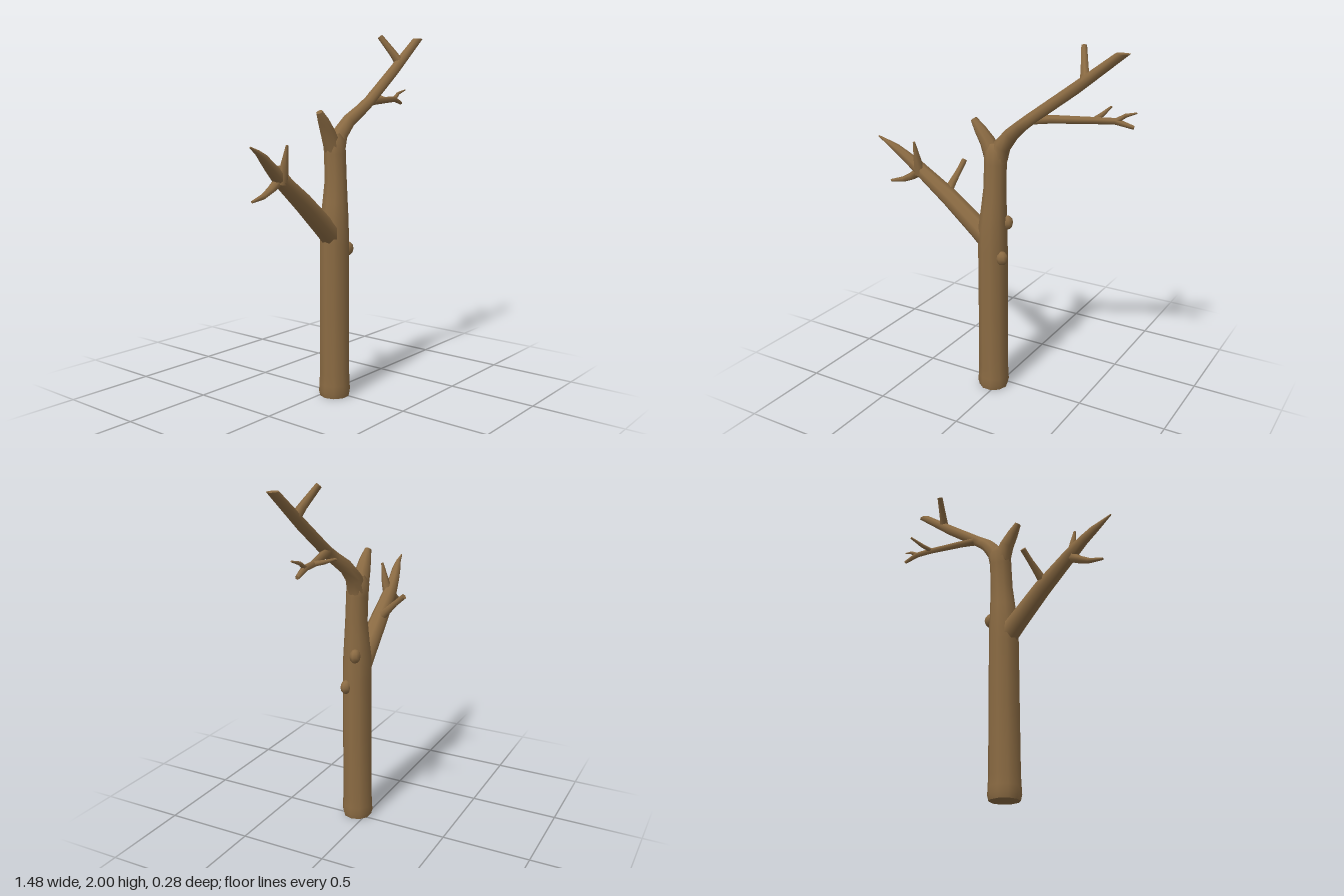
import * as THREE from 'three';

const bark = new THREE.MeshStandardMaterial({ color: 0x8b6b43 });
bark.name = 'bark brown';

// Tapered limb through stations [x, y, z, radius]; levelEnds keeps end cuts horizontal
function limb(name, stations, sides = 8, levelEnds = false) {
  const pts = stations.map(s => new THREE.Vector3(s[0], s[1], s[2]));
  const n = pts.length, pos = [], idx = [];
  const u = new THREE.Vector3(), v = new THREE.Vector3(), t = new THREE.Vector3();
  u.set(0, 0, 1);
  for (let i = 0; i < n; i++) {
    t.subVectors(pts[Math.min(i + 1, n - 1)], pts[Math.max(i - 1, 0)]).normalize();
    if (levelEnds && i === n - 1) t.set(0, 1, 0);
    u.addScaledVector(t, -u.dot(t)).normalize();
    v.crossVectors(t, u);
    for (let k = 0; k < sides; k++) {
      const a = ((k + 0.5) / sides) * Math.PI * 2, r = stations[i][3];
      // a level cut through a slanted limb is wider along its lean
      const wide = levelEnds && i === n - 1 ? 1.35 : 1;
      const p = pts[i].clone().addScaledVector(u, r * Math.cos(a)).addScaledVector(v, r * wide * Math.sin(a));
      pos.push(p.x, p.y, p.z);
    }
  }
  for (let i = 0; i < n - 1; i++) {
    for (let k = 0; k < sides; k++) {
      const a = i * sides + k, b = i * sides + (k + 1) % sides;
      idx.push(a, b, a + sides, b, b + sides, a + sides);
    }
  }
  // flat caps with their own vertices
  for (const end of [0, n - 1]) {
    const c = pos.length / 3;
    pos.push(...pts[end].toArray());
    for (let k = 0; k < sides; k++) {
      const j = (end * sides + k) * 3;
      pos.push(pos[j], pos[j + 1], pos[j + 2]);
    }
    for (let k = 0; k < sides; k++) {
      const a = c + 1 + k, b = c + 1 + (k + 1) % sides;
      if (end) idx.push(c, a, b); else idx.push(c, b, a);
    }
  }
  const g = new THREE.BufferGeometry();
  g.setAttribute('position', new THREE.Float32BufferAttribute(pos, 3));
  g.setIndex(idx);
  g.computeVertexNormals();
  const m = new THREE.Mesh(g, bark);
  m.name = name;
  return m;
}

export function createModel() {
  const tree = new THREE.Group();
  tree.name = 'bareTree';

  // Trunk with flared foot and narrowed neck
  tree.add(limb('trunk', [
    [-0.027, 0, 0.058, 0.082], [-0.027, 0.03, 0.058, 0.089], [-0.027, 0.07, 0.058, 0.087],
    [-0.027, 0.13, 0.058, 0.084], [-0.027, 0.5, 0.058, 0.083], [-0.028, 0.85, 0.058, 0.082],
    [-0.028, 0.98, 0.057, 0.08], [-0.022, 1.08, 0.057, 0.071], [-0.016, 1.2, 0.056, 0.062],
    [-0.015, 1.34, 0.05, 0.061], [-0.015, 1.41, 0.045, 0.062], [-0.02, 1.45, 0.044, 0.035],
  ], 10));

  // Short broken stub at the fork
  tree.add(limb('forkStub', [
    [-0.03, 1.37, 0.047, 0.05], [-0.065, 1.45, 0.045, 0.043],
    [-0.11, 1.515, 0.05, 0.032], [-0.148, 1.566, 0.052, 0.018],
  ]));

  // Upper branch on the left side, with its twigs
  const upper = new THREE.Group();
  upper.name = 'upperBranch';
  upper.add(
    limb('upperBranchStem', [
      [0, 1.37, 0.047, 0.052], [0.025, 1.44, 0.048, 0.047], [0.09, 1.515, 0.062, 0.039],
      [0.16, 1.572, 0.088, 0.034], [0.22, 1.618, 0.1, 0.032], [0.46, 1.795, 0.1, 0.031],
      [0.7, 1.983, 0.1, 0.028],
    ], 8, true),
    limb('upperTwig', [[0.512, 1.84, 0.1, 0.027], [0.495, 1.89, 0.07, 0.022], [0.457, 1.988, 0.002, 0.016]], 6),
    limb('sideBranch', [
      [0.21, 1.615, 0.1, 0.027], [0.32, 1.622, 0.065, 0.022], [0.53, 1.627, 0.0, 0.018],
      [0.63, 1.632, -0.016, 0.017], [0.67, 1.622, -0.022, 0.014], [0.722, 1.608, -0.03, 0.01],
    ], 6),
    limb('sideTwigTip', [[0.63, 1.632, -0.016, 0.014], [0.68, 1.665, -0.022, 0.01], [0.74, 1.686, -0.013, 0.004]], 6),
    limb('sideTwigBack', [[0.52, 1.627, 0.004, 0.014], [0.538, 1.645, -0.06, 0.012], [0.553, 1.672, -0.14, 0.006]], 6),
  );
  tree.add(upper);

  // Lower branch on the right side, with its twigs
  const lower = new THREE.Group();
  lower.name = 'lowerBranch';
  lower.add(
    limb('lowerBranchStem', [
      [-0.03, 0.88, 0.058, 0.065], [-0.12, 0.955, 0.06, 0.058], [-0.3, 1.105, 0.067, 0.051],
      [-0.49, 1.245, 0.078, 0.039], [-0.57, 1.307, 0.09, 0.03], [-0.63, 1.352, 0.104, 0.024],
      [-0.68, 1.383, 0.115, 0.014], [-0.735, 1.411, 0.12, 0.004],
    ]),
    limb('lowerTwigUp', [[-0.485, 1.22, 0.085, 0.032], [-0.484, 1.29, 0.105, 0.024], [-0.487, 1.41, 0.13, 0.007]], 6),
    limb('lowerTwigOut', [
      [-0.485, 1.235, 0.078, 0.03], [-0.55, 1.192, 0.076, 0.021],
      [-0.605, 1.166, 0.08, 0.016], [-0.69, 1.147, 0.085, 0.007],
    ], 6),
    limb('lowerTwigBack', [
      [-0.32, 1.12, 0.07, 0.032], [-0.316, 1.17, 0.02, 0.024],
      [-0.308, 1.225, -0.035, 0.018], [-0.306, 1.278, -0.095, 0.017],
    ], 6),
  );
  tree.add(lower);

  // Knots bulging from the trunk
  for (const [y, z] of [[1.01, 0.032], [0.82, 0.09]]) {
    const knot = new THREE.Mesh(new THREE.SphereGeometry(1, 8, 6), bark);
    knot.name = 'knot';
    knot.scale.set(0.036, 0.04, 0.031);
    knot.position.set(0.046, y, z);
    tree.add(knot);
  }
  return tree;
}
